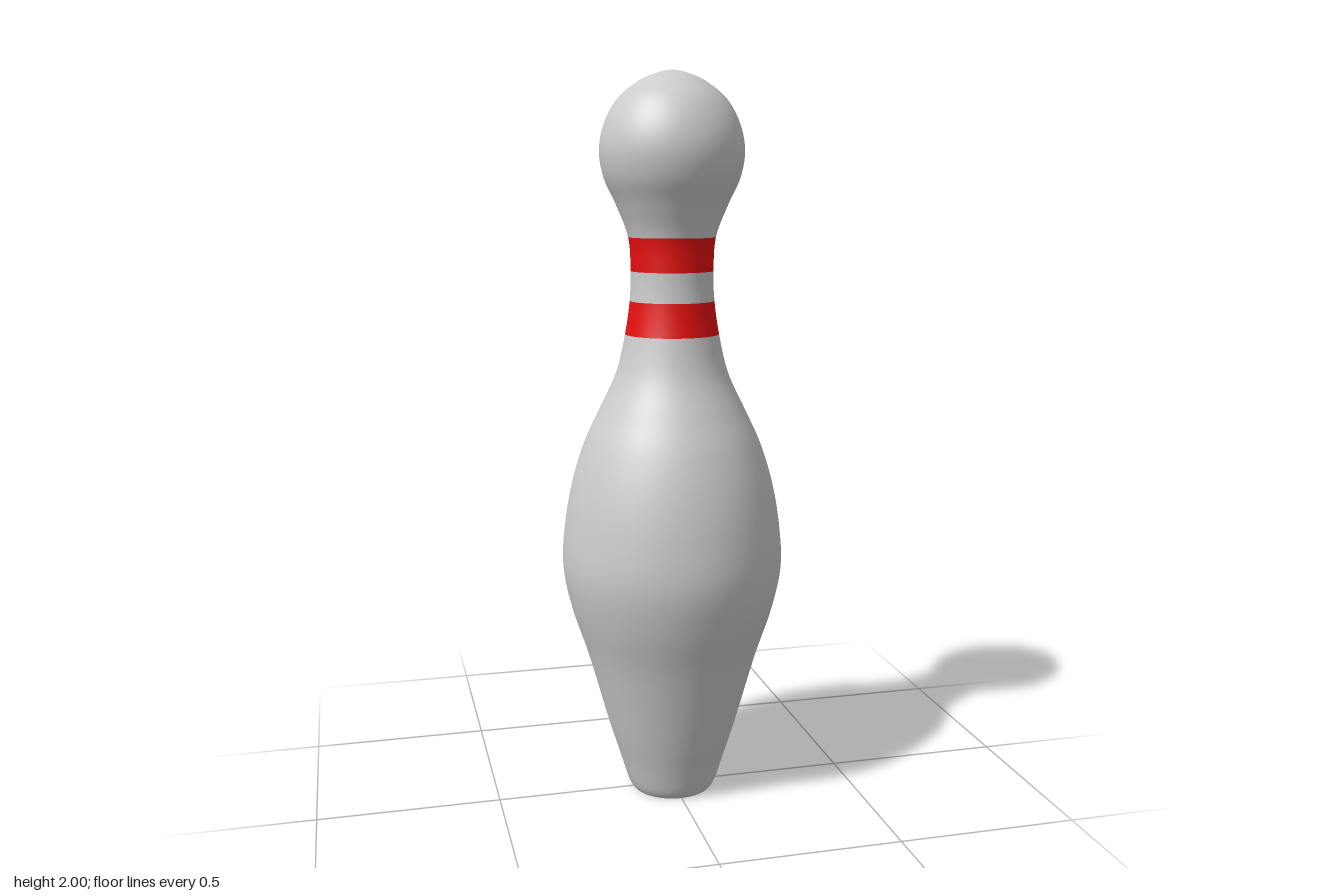
import * as THREE from 'three';

export function createModel() {
  const pin = new THREE.Group();
  pin.name = 'bowlingPin';
  const white = new THREE.MeshStandardMaterial({ name: 'pinWhite', color: 0xcccccc });
  const red = new THREE.MeshStandardMaterial({ name: 'stripeRed', color: 0xee1111 });

  // Outline from the base to the crown: radius, height
  const outline = [
    [0.113, 0], [0.127, 0.025], [0.15, 0.1], [0.181, 0.2], [0.237, 0.4], [0.282, 0.54],
    [0.305, 0.66], [0.298, 0.78], [0.276, 0.9], [0.241, 1.01], [0.199, 1.1], [0.153, 1.2],
    [0.128, 1.305], [0.115, 1.395], [0.112, 1.475], [0.118, 1.565], [0.15, 1.65],
    [0.182, 1.72], [0.194, 1.79], [0.181, 1.86], [0.145, 1.925], [0.09, 1.97],
    [0.04, 1.992], [0, 2],
  ].map(([r, y]) => new THREE.Vector2(r, y));
  const curve = new THREE.SplineCurve(outline);
  const last = outline.length - 1;

  // Revolve the stretch of outline between two of its points
  function section(name, from, to, material) {
    const steps = (to - from) * 6;
    const points = [];
    for (let i = 0; i <= steps; i++) {
      const p = curve.getPoint((from + i / 6) / last);
      points.push(new THREE.Vector2(Math.max(p.x, 0), p.y));
    }
    const mesh = new THREE.Mesh(new THREE.LatheGeometry(points, 72), material);
    mesh.name = name;
    pin.add(mesh);
  }

  section('body', 0, 12, white);
  section('lowerStripe', 12, 13, red);
  section('neck', 13, 14, white);
  section('upperStripe', 14, 15, red);
  section('head', 15, last, white);

  // Flat underside
  const base = new THREE.Mesh(new THREE.CircleGeometry(0.113, 72), white);
  base.name = 'base';
  base.rotation.x = Math.PI / 2;
  pin.add(base);

  return pin;
}
